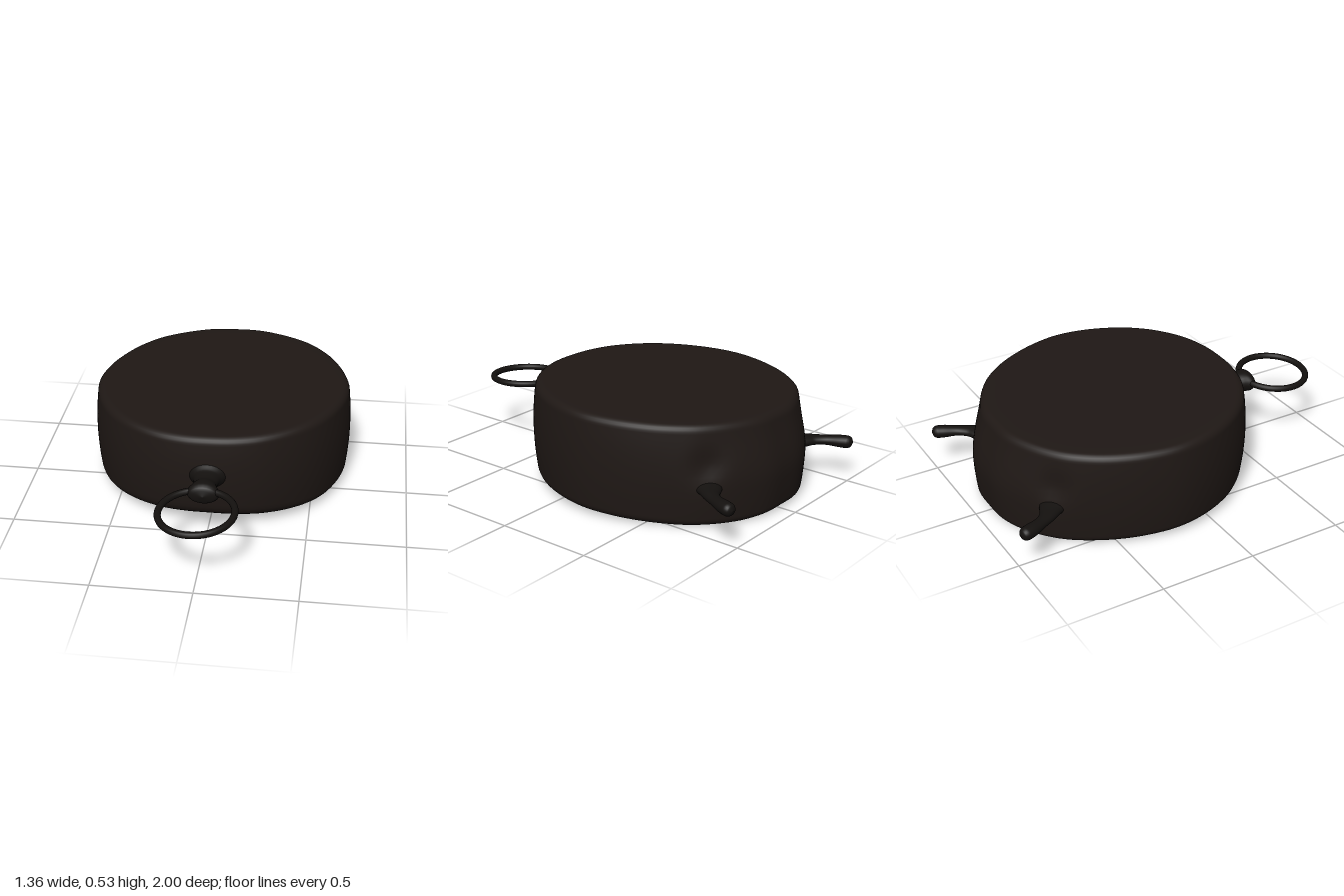
import * as THREE from 'three';

const V = (x, y, z) => new THREE.Vector3(x, y, z);
const { lerp, smoothstep } = THREE.MathUtils;
const black = new THREE.MeshStandardMaterial({ color: 0x14110f });
const iron = new THREE.MeshStandardMaterial({ color: 0x1f1815 });

// Smooth skin through closed rings of points, given from the first end to the last
function loft(rings) {
  const n = rings[0].length, index = [];
  for (let i = 0; i < rings.length - 1; i++) {
    for (let j = 0; j < n; j++) {
      const a = i * n + j, b = i * n + (j + 1) % n;
      index.push(a, b, b + n, a, b + n, a + n);
    }
  }
  const g = new THREE.BufferGeometry().setFromPoints(rings.flat());
  g.setIndex(index);
  g.computeVertexNormals();
  return g;
}

// Horizontal arm with oval sections: [x, z, half width, half height]
function arm(sections, y, steps = 32, n = 24) {
  const path = new THREE.CatmullRomCurve3(sections.map(s => V(s[0], 0, s[1])));
  const size = new THREE.CatmullRomCurve3(sections.map(s => V(s[2], s[3], 0)));
  const rings = [];
  for (let i = 0; i <= steps; i++) {
    const t = i / steps, p = path.getPoint(t), r = size.getPoint(t);
    const side = V(0, 1, 0).cross(path.getTangent(t));
    rings.push(Array.from({ length: n }, (_, j) => {
      const a = j / n * Math.PI * 2;
      return p.clone().addScaledVector(side, Math.cos(a) * r.x)
        .add(V(0, y + Math.sin(a) * r.y, 0));
    }));
  }
  return loft(rings);
}

// Uneven round drum, with soft edges and gently warped faces
function bodyGeometry() {
  const half = [[0.13, 0.467], [0.28, 0.425], [0.44, 0.325], [0.56, 0.19], [0.65, 0],
    [0.682, -0.19], [0.655, -0.36], [0.598, -0.51], [0.522, -0.64], [0.43, -0.76],
    [0.3, -0.862], [0.14, -0.932]];
  const outline = [[0, 0.475], ...half, [0, -0.942], ...half.map(([x, z]) => [-x, z]).reverse()];
  const curve = new THREE.CatmullRomCurve3(outline.map(([x, z]) => V(x, 0, z)), true);
  const rim = curve.getSpacedPoints(128).slice(0, 128);
  const zc = -0.23, draft = 0.018, topRadius = 0.042;
  const bottomRadius = p => 0.042 + 0.05 * smoothstep(p.z, 0.1, 0.47);
  const bottom = (x, z) => Math.max(0, 0.024 + 0.036 * (z - zc) + 0.009 * Math.cos(7 * x));
  const top = (x, z) => 0.513 + 0.018 * x + 0.02 * (z - zc);
  const dents = [V(0.43, 0.31, -0.78), V(-0.43, 0.31, -0.78)];

  // One ring: scale and height are rules of the rim point
  const ring = (scale, height) => rim.map(p => {
    const s = scale(p), x = p.x * s, z = zc + (p.z - zc) * s;
    const y = height(p, bottom(x, z), top(x, z));
    // upper back wall leans inward
    const q = V(x, y, z + 0.05 * smoothstep(y, 0.2, 0.52) * smoothstep(-z, 0.55, 0.95));
    // shallow hollows above the prongs
    for (const d of dents) {
      const f = 0.035 * Math.exp(-q.distanceToSquared(d) / 0.006);
      q.x -= q.x * f;
      q.z -= (q.z - zc) * f;
    }
    return q;
  });

  const rings = [], arc = k => k / 6 * Math.PI / 2;
  for (const s of [0, 0.35, 0.65, 0.85]) rings.push(ring(() => s, (p, lo) => lo));
  for (let k = 0; k <= 6; k++) {
    rings.push(ring(p => 1 - draft - (1 - Math.sin(arc(k))) * bottomRadius(p) / 0.69,
      (p, lo) => lo + bottomRadius(p) * (1 - Math.cos(arc(k)))));
  }
  for (let k = 1; k < 12; k++) {
    const t = k / 12;
    rings.push(ring(() => 1 - draft * (2 * t - 1) ** 2,
      (p, lo, hi) => lerp(lo + bottomRadius(p), hi - topRadius, t)));
  }
  for (let k = 0; k <= 6; k++) {
    rings.push(ring(() => 1 - draft - (1 - Math.cos(arc(k))) * topRadius / 0.69,
      (p, lo, hi) => hi - topRadius * (1 - Math.sin(arc(k)))));
  }
  for (const s of [0.85, 0.65, 0.35, 0]) rings.push(ring(() => s, (p, lo, hi) => hi));
  return loft(rings);
}

export function createModel() {
  const group = new THREE.Group();
  const add = (name, geometry, material) => {
    const mesh = new THREE.Mesh(geometry, material);
    mesh.name = name;
    group.add(mesh);
    return mesh;
  };

  add('body', bodyGeometry(), iron);

  // Flared lug on the front wall
  add('frontLug', arm([[0, 0.43, 0.13, 0.09], [0, 0.47, 0.092, 0.068], [0, 0.5, 0.068, 0.05],
    [0, 0.55, 0.056, 0.044], [0, 0.59, 0.066, 0.055], [0, 0.625, 0.08, 0.056],
    [0, 0.65, 0.068, 0.042], [0, 0.664, 0, 0]], 0.32), black);

  // Pull ring held in the lug
  const ring = add('pullRing', new THREE.TorusGeometry(0.184, 0.017, 14, 64), black);
  ring.position.set(-0.01, 0.324, 0.8);
  ring.rotation.set(Math.PI / 2 + 0.03, 0.045, 0);

  // Two splayed prongs at the back
  for (const s of [1, -1]) {
    const sections = [[0.36, -0.72, 0.09, 0.045], [0.412, -0.775, 0.06, 0.032],
      [0.455, -0.815, 0.042, 0.026], [0.492, -0.87, 0.033, 0.025],
      [0.522, -0.935, 0.037, 0.032], [0.534, -0.968, 0.036, 0.033],
      [0.539, -0.988, 0.026, 0.024], [0.541, -0.998, 0, 0]];
    add(s > 0 ? 'leftProng' : 'rightProng',
      arm(sections.map(([x, z, w, h]) => [s * x, z, w, h]), 0.198), black);
  }
  return group;
}
